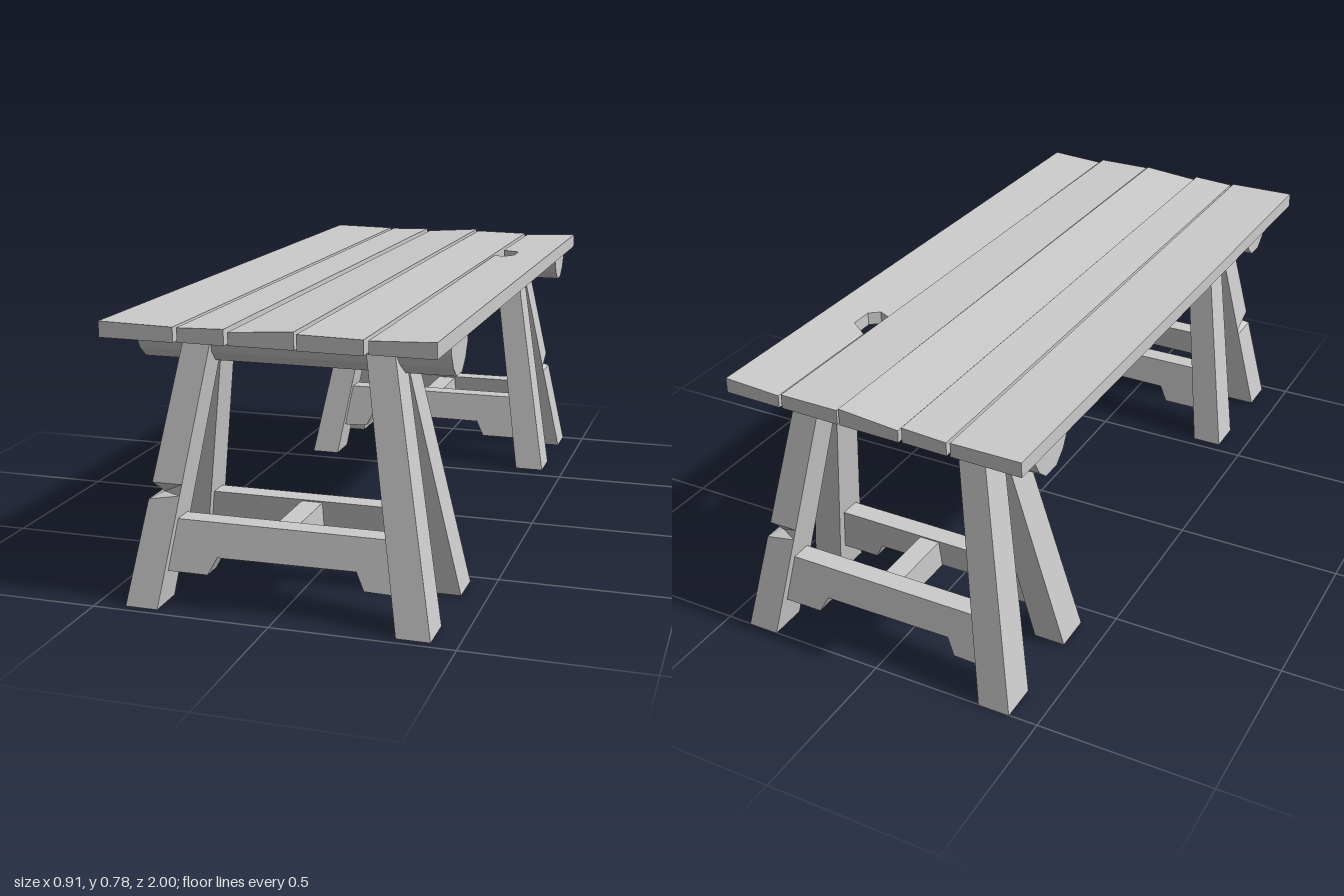
import * as THREE from 'three';

const { lerp } = THREE.MathUtils;
const material = new THREE.MeshStandardMaterial({ color: 0xcccccc, flatShading: true });

function add(parent, name, geometry) {
  const mesh = new THREE.Mesh(geometry, material);
  mesh.name = name;
  parent.add(mesh);
  return mesh;
}

// Move every vertex of a geometry by a rule
function reshape(geometry, rule) {
  const g = geometry.index ? geometry.toNonIndexed() : geometry;
  const p = g.attributes.position;
  const v = new THREE.Vector3();
  for (let i = 0; i < p.count; i++) {
    rule(v.fromBufferAttribute(p, i));
    p.setXYZ(i, v.x, v.y, v.z);
  }
  g.computeVertexNormals();
  return g;
}

const outline = (points) => new THREE.Shape(points.map(([x, y]) => new THREE.Vector2(x, y)));

// Splayed, slightly tapered leg; one corner can carry a small nick
function legGeometry(sx, sz, nicked) {
  const levels = [0, 0.29, 0.305, 0.335, 0.705];
  return reshape(new THREE.BoxGeometry(1, 1, 1, 1, 4, 1), (v) => {
    const level = Math.round((v.y + 0.5) * 4);
    const y = levels[level];
    const t = y / 0.705;
    const outer = v.x * sx > 0 && v.z * sz > 0;
    const nick = nicked && outer && level === 2 ? 0.03 : 0;
    v.set(
      sx * (lerp(0.376, 0.252, t) - nick) + v.x * lerp(0.092, 0.077, t),
      y,
      sz * (lerp(0.164, 0.042, t) - nick) + v.z * lerp(0.112, 0.094, t)
    );
  });
}

// Rail with a raised cut-out below, leaning with the legs
function railGeometry(sz) {
  const shape = outline([
    [-0.34, 0.097], [-0.2, 0.097], [-0.175, 0.145], [0.21, 0.148],
    [0.233, 0.1], [0.34, 0.097], [0.325, 0.238], [-0.325, 0.238],
  ]);
  const g = new THREE.ExtrudeGeometry(shape, { depth: 0.06, bevelEnabled: false });
  return reshape(g, (v) => { v.z += -0.03 + sz * (0.164 - 0.173 * v.y); });
}

function createTrestle(name) {
  const trestle = new THREE.Group();
  trestle.name = name;

  // Top beam with a rounded underside
  const profile = outline([
    [-0.09, 0.734], [-0.088, 0.715], [-0.066, 0.677], [-0.03, 0.648],
    [0.03, 0.648], [0.066, 0.677], [0.088, 0.715], [0.09, 0.734],
  ]);
  const beam = new THREE.ExtrudeGeometry(profile, { depth: 0.86, bevelEnabled: false });
  beam.rotateY(Math.PI / 2).translate(-0.425, 0, 0);
  add(trestle, 'beam', beam);

  for (const sz of [1, -1]) {
    for (const sx of [-1, 1]) add(trestle, 'leg', legGeometry(sx, sz, sx < 0 && sz > 0));
    add(trestle, 'rail', railGeometry(sz));
  }

  // Short bar joining the two rails
  add(trestle, 'crossBar', new THREE.BoxGeometry(0.06, 0.088, 0.24).translate(0, 0.19, 0));
  return trestle;
}

// Planks: [back left x, back right x, front left x, front right x, back z, front z, left top, right top]
const planks = [
  [-0.442, -0.24, -0.457, -0.248, -0.965, 0.985, 0.777, 0.774],
  [-0.23, -0.098, -0.24, -0.11, -0.962, 0.985, 0.772, 0.777],
  [-0.09, 0.09, -0.102, 0.076, -0.962, 0.985, 0.768, 0.782],
  [0.096, 0.272, 0.084, 0.258, -0.958, 0.995, 0.776, 0.774],
  [0.28, 0.452, 0.266, 0.44, -0.955, 0.985, 0.769, 0.777],
];

function plankGeometry([bl, br, fl, fr, zb, zf, topL, topR], knotHole) {
  const points = [[bl, zb], [br, zb + 0.004], [fr, zf], [fl, zf - 0.006]];
  // Broken-out knot on the inner edge
  if (knotHole) {
    points.push([0.271, -0.435], [0.307, -0.42], [0.335, -0.445], [0.335, -0.515], [0.277, -0.557]);
  }
  const g = new THREE.ExtrudeGeometry(outline(points), { depth: 1, bevelEnabled: false });
  g.rotateX(Math.PI / 2);
  return reshape(g, (v) => {
    const t = (v.x - fl) / (br - fl);
    v.y = v.y > -0.5 ? lerp(topL, topR, t) : 0.734;
  });
}

export function createModel() {
  const model = new THREE.Group();
  model.name = 'trestleTable';

  const top = new THREE.Group();
  top.name = 'tableTop';
  planks.forEach((p, i) => add(top, 'plank', plankGeometry(p, i === 4)));
  model.add(top);

  // The rear trestle is the front one turned around
  const front = createTrestle('frontTrestle');
  front.position.set(0.005, 0, 0.755);
  const back = createTrestle('backTrestle');
  back.position.set(0.005, 0, -0.782);
  back.rotation.y = Math.PI;
  model.add(front, back);
  return model;
}
